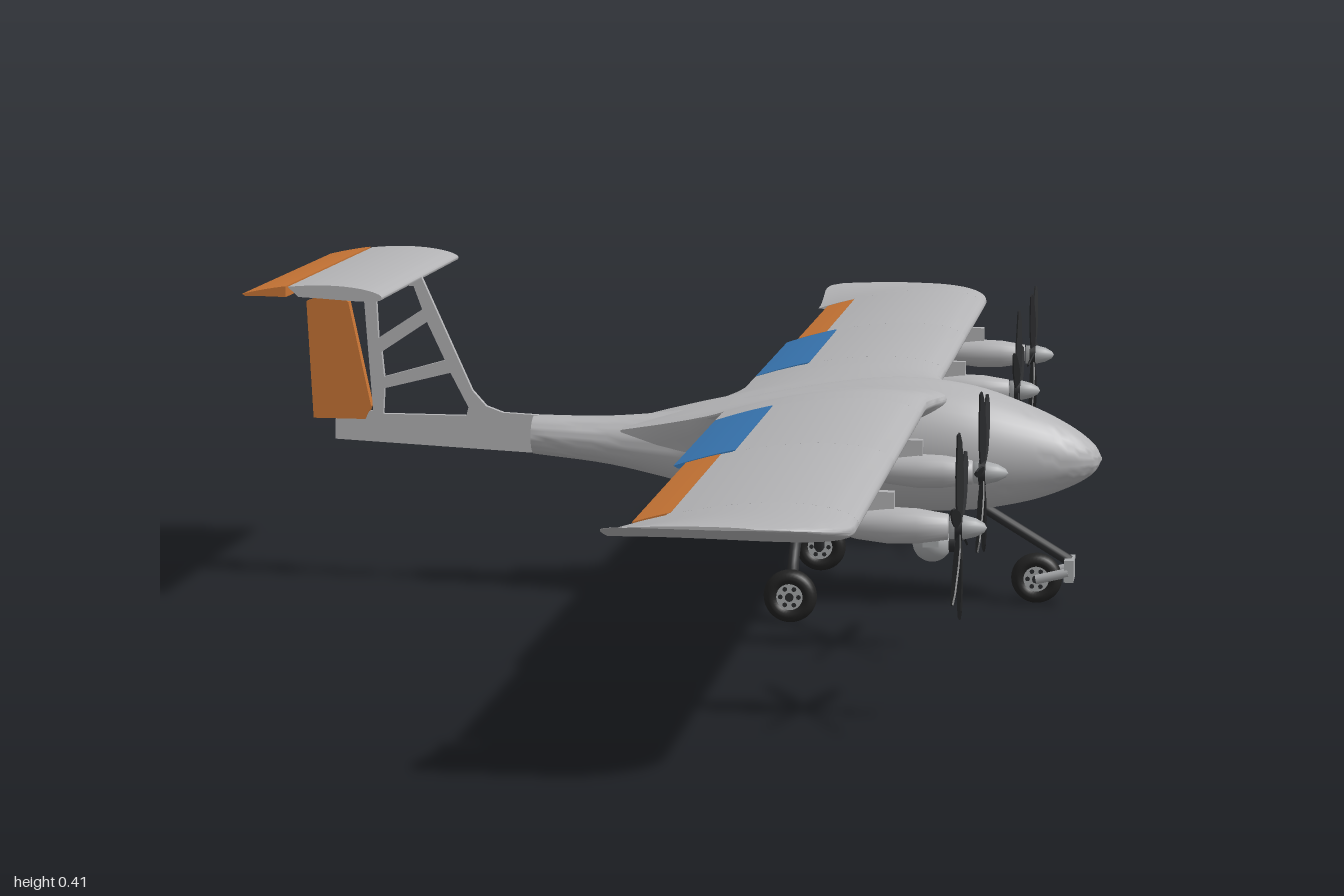
import * as THREE from 'three';
import { toCreasedNormals } from 'three/addons/utils/BufferGeometryUtils.js';

const paint = (name, color) => Object.assign(new THREE.MeshStandardMaterial({ color }), { name });

// Skin a row of closed rings and cap both ends, faces turned outward
function loft(rings, crease = 0.6) {
  const n = rings[0].length, pos = rings.flat(2), idx = [];
  for (let r = 0; r < rings.length - 1; r++) {
    for (let i = 0; i < n; i++) {
      const a = r * n + i, b = r * n + (i + 1) % n;
      idx.push(a, b, a + n, b, b + n, a + n);
    }
  }
  const last = (rings.length - 1) * n;
  for (let i = 1; i < n / 2; i++) {
    const j = n - i, k = i - 1, l = (n - i + 1) % n;
    for (const [o, flip] of [[0, true], [last, false]]) {
      const quad = [[k, i, l], [i, j, l]];
      for (const t of quad) idx.push(...(flip ? [t[0], t[2], t[1]] : t).map(v => v + o));
    }
  }
  const p = i => new THREE.Vector3().fromArray(pos, idx[i] * 3);
  let volume = 0;
  for (let i = 0; i < idx.length; i += 3) volume += p(i).dot(p(i + 1).cross(p(i + 2)));
  if (volume < 0) idx.reverse();
  const g = new THREE.BufferGeometry();
  g.setAttribute('position', new THREE.Float32BufferAttribute(pos, 3));
  g.setIndex(idx);
  return toCreasedNormals(g, crease);
}

// Aerofoil ring between chord fractions t0 and t1
function foil(z, { le, te, yLe, yTe, thick, camber = 0.008, drop = 0, lift = 0, t0 = 0, t1 = 1 }) {
  const N = 14, top = [], bottom = [];
  for (let i = 0; i <= N; i++) {
    const u = t0 > 0 ? i / N : 1 - Math.cos(i / N * Math.PI / 2);
    const t = t0 + (t1 - t0) * u;
    const h = 5 * thick * (0.2969 * Math.sqrt(t) - 0.126 * t - 0.3516 * t * t + 0.2843 * t ** 3 - 0.1015 * t ** 4) + 0.001;
    const x = le + (te - le) * t;
    const c = yLe + (yTe - yLe) * t + camber * 4 * t * (1 - t);
    const raise = y => y + (0.28 - y) * lift;
    top.push([x, raise(c + h), z]);
    bottom.push([x, raise(c - h - drop * 4 * t * (1 - t)), z]);
  }
  return [...top, ...bottom.reverse()];
}

const wingBase = { le: 0.31, te: 0.06, yLe: 0.264, yTe: 0.252, thick: 0.033 };
const chordAt = x => (0.31 - x) / 0.25;

export function createModel() {
  const model = new THREE.Group();
  model.name = 'aircraft';
  const grey = paint('body grey', 0xb4b4b6), orange = paint('control orange', 0xc87535);
  const blue = paint('flap blue', 0x3876b2), dark = paint('carbon black', 0x2c2d2f);
  const rubber = paint('tyre black', 0x222222), metal = paint('light metal', 0xa8aaac);

  const add = (name, geo, mat, parent = model, p = [0, 0, 0]) => {
    const m = new THREE.Mesh(geo, mat);
    m.name = name;
    m.position.set(...p);
    parent.add(m);
    return m;
  };
  const strut = (name, a, b, r, mat, parent = model) => {
    const va = new THREE.Vector3(...a), vb = new THREE.Vector3(...b), d = vb.clone().sub(va);
    const m = add(name, new THREE.CylinderGeometry(r, r, d.length(), 12), mat, parent);
    m.position.copy(va).add(vb).multiplyScalar(0.5);
    m.quaternion.setFromUnitVectors(new THREE.Vector3(0, 1, 0), d.normalize());
    return m;
  };
  const plate = (name, pts, depth, mat, holes = []) => {
    const outline = q => q.map(([x, y]) => new THREE.Vector2(x, y));
    const s = new THREE.Shape(outline(pts));
    s.holes = holes.map(h => new THREE.Path(outline(h)));
    const g = new THREE.ExtrudeGeometry(s, { depth, bevelEnabled: false });
    return add(name, g.translate(0, 0, -depth / 2), mat);
  };

  // Fuselage: x, centre height, half height, half width
  const stations = [
    [-0.2, 0.2, 0.025, 0.027], [-0.1, 0.195, 0.031, 0.036], [0, 0.19, 0.047, 0.05],
    [0.1, 0.192, 0.068, 0.062], [0.2, 0.197, 0.081, 0.073], [0.28, 0.2, 0.084, 0.077],
    [0.36, 0.197, 0.078, 0.074], [0.43, 0.192, 0.06, 0.059], [0.48, 0.189, 0.039, 0.041],
    [0.51, 0.187, 0.019, 0.021], [0.521, 0.187, 0.001, 0.001]];
  const spine = f => new THREE.CatmullRomCurve3(stations.map(f), false, 'catmullrom', 0.5);
  const height = spine(s => new THREE.Vector3(s[0], s[1], s[2]));
  const width = spine(s => new THREE.Vector3(s[0], s[3], 0));
  const hull = [];
  for (let i = 0; i <= 50; i++) {
    const a = height.getPoint(i / 50), w = width.getPoint(i / 50).y, ring = [];
    for (let k = 0; k < 36; k++) {
      const q = k / 36 * Math.PI * 2;
      ring.push([a.x, a.y + a.z * Math.sin(q), w * Math.cos(q)]);
    }
    hull.push(ring);
  }
  add('fuselage', loft(hull, 0.9), grey);

  // Wing centre with fairing into the fuselage
  const rootZ = [0.18, 0.13, 0.11, 0.1, 0.09, 0.08, 0.07, 0.06, 0.05, 0.03];
  const centre = [...rootZ.map(z => -z), ...rootZ.slice().reverse()].map(z => {
    const f = Math.min(1, Math.max(0, (0.12 - Math.abs(z)) / 0.07)), k = f * f;
    return foil(z, { ...wingBase, le: 0.31 + 0.02 * k, te: 0.06 - 0.14 * k * f,
      yTe: 0.252 - 0.037 * k, drop: 0.05 * k });
  });
  add('wingCentre', loft(centre, 0.9), grey);

  // Wing panels, flaps, ailerons and swept-up tips on each side
  for (const s of [1, -1]) {
    const side = s > 0 ? 'right' : 'left';
    const span = (name, z0, z1, x0, x1, mat, extra = 0) => add(side + name, loft([z0, z1].map(z =>
      foil(s * z, { ...wingBase, thick: wingBase.thick + extra, t0: chordAt(x0), t1: chordAt(x1) }))), mat);
    span('InnerPanel', 0.18, 0.51, 0.31, 0.128, grey);
    span('OuterPanel', 0.51, 0.88, 0.31, 0.112, grey);
    span('Flap', 0.183, 0.507, 0.13, 0.06, blue, 0.004);
    span('Aileron', 0.512, 0.872, 0.115, 0.075, orange, 0.002);
    const tip = [0.88, 0.91, 0.93, 0.945, 0.96, 0.975, 0.985, 0.993, 1].map(z => {
      const d = Math.max(0, z - 0.91), e = Math.max(0, z - 0.975);
      const le = 0.22 + Math.sqrt(Math.max(0, 0.0081 - d * d));
      return foil(s * z, { ...wingBase, le, te: 0.06 + (0.025 - Math.sqrt(Math.max(0, 0.000625 - e * e))),
        lift: 0.9 * (d / 0.09) ** 1.3 });
    });
    add(side + 'WingTip', loft(tip, 0.9), grey);
  }

  // Motor pods with six-bladed propellers
  const podProfile = [[0, -0.15], [0.008, -0.14], [0.016, -0.11], [0.02, -0.075], [0.019, -0.045], [0.014, -0.012], [0, -0.012]];
  const spinnerProfile = [[0, -0.01], [0.013, -0.01], [0.013, 0.006], [0.01, 0.018], [0.005, 0.027], [0, 0.03]];
  const turned = prof => new THREE.LatheGeometry(prof.map(q => new THREE.Vector2(...q)), 24).rotateZ(-Math.PI / 2);
  const bladeShape = new THREE.Shape([[-0.004, 0.008], [0.004, 0.008], [0.008, 0.035], [0.008, 0.06], [0.005, 0.095],
    [0.001, 0.107], [-0.003, 0.105], [-0.006, 0.06], [-0.006, 0.035]].map(q => new THREE.Vector2(...q)));
  const blade = new THREE.ExtrudeGeometry(bladeShape, { depth: 0.002, bevelEnabled: false })
    .translate(0, 0, -0.001).rotateY(Math.PI / 2 - 0.5);
  for (const [z, turn] of [[0.66, 10], [0.32, 20], [-0.32, -5], [-0.66, -30]]) {
    const pod = new THREE.Group();
    pod.name = 'motorPod';
    pod.position.set(0.395, 0.222, z);
    model.add(pod);
    add('nacelle', turned(podProfile), grey, pod);
    add('pylon', new THREE.BoxGeometry(0.08, 0.03, 0.012), grey, pod, [-0.11, 0.022, 0]);
    add('spinner', turned(spinnerProfile), metal, pod);
    add('propHub', new THREE.CylinderGeometry(0.0145, 0.0145, 0.008, 24).rotateZ(Math.PI / 2), dark, pod);
    for (let k = 0; k < 6; k++) {
      add('propBlade', blade, dark, pod).rotation.x = THREE.MathUtils.degToRad(turn) + k * Math.PI / 3;
    }
  }

  // Tail boom and open truss fin
  plate('tailFin', [[-0.46, 0.188], [-0.195, 0.176], [-0.195, 0.225], [-0.24, 0.227], [-0.262, 0.235], [-0.28, 0.255],
    [-0.345, 0.4], [-0.445, 0.4], [-0.44, 0.372], [-0.42, 0.37], [-0.41, 0.226], [-0.46, 0.214]], 0.008, grey, [
    [[-0.405, 0.388], [-0.355, 0.388], [-0.344, 0.358], [-0.402, 0.32]],
    [[-0.398, 0.302], [-0.338, 0.342], [-0.315, 0.293], [-0.395, 0.27]],
    [[-0.395, 0.255], [-0.308, 0.277], [-0.285, 0.233], [-0.288, 0.222], [-0.397, 0.222]]]);
  plate('rudder', [[-0.488, 0.215], [-0.42, 0.215], [-0.412, 0.232], [-0.44, 0.366], [-0.46, 0.379], [-0.495, 0.366]], 0.013, orange);

  // Tailplane and elevator
  const tail = { le: -0.345, te: -0.52, yLe: 0.399, yTe: 0.4, thick: 0.015, camber: 0.006 };
  const tailSpan = (name, mat, o) => add(name, loft([-0.217, 0.217].map(z => foil(z, { ...tail, ...o }))), mat);
  tailSpan('tailplane', grey, { t1: 0.67 });
  tailSpan('elevator', orange, { t0: 0.685, thick: 0.018 });

  // Wheels
  const wheel = (name, p, r) => {
    const g = new THREE.Group();
    g.name = name;
    g.position.set(...p);
    model.add(g);
    add('tyre', new THREE.TorusGeometry(r * 0.7, r * 0.3, 14, 36).scale(1, 1, 1.3), rubber, g);
    add('hub', new THREE.CylinderGeometry(r * 0.5, r * 0.5, 0.018, 24).rotateX(Math.PI / 2), metal, g);
    add('axleCap', new THREE.CylinderGeometry(r * 0.16, r * 0.16, 0.024, 12).rotateX(Math.PI / 2), dark, g);
    for (let k = 0; k < 6; k++) {
      const a = k * Math.PI / 3;
      add('hubHole', new THREE.CylinderGeometry(0.003, 0.003, 0.019, 8).rotateX(Math.PI / 2), dark, g,
        [Math.cos(a) * r * 0.34, Math.sin(a) * r * 0.34, 0]);
    }
  };
  for (const s of [1, -1]) {
    wheel('mainWheel', [0.15, 0.034, s * 0.16], 0.033);
    const path = new THREE.CatmullRomCurve3([[0.15, 0.135, 0.03], [0.15, 0.113, 0.07], [0.15, 0.075, 0.125], [0.15, 0.035, 0.143]]
      .map(([x, y, z]) => new THREE.Vector3(x, y, s * z)));
    add('mainLeg', new THREE.TubeGeometry(path, 16, 0.007, 10), dark);
    strut('mainAxle', [0.15, 0.034, s * 0.14], [0.15, 0.034, s * 0.17], 0.005, dark);
  }

  // Nose gear with trailing fork
  wheel('noseWheel', [0.442, 0.033, 0], 0.032);
  strut('noseLeg', [0.36, 0.13, 0], [0.483, 0.056, 0], 0.007, dark);
  for (const s of [1, -1]) {
    strut('noseFork', [0.442, 0.034, s * 0.017], [0.482, 0.044, s * 0.017], 0.006, metal);
  }
  add('forkHead', new THREE.BoxGeometry(0.012, 0.028, 0.042), metal, model, [0.483, 0.046, 0]);

  // Camera ball under the nose
  add('cameraMount', new THREE.CylinderGeometry(0.014, 0.014, 0.022, 20), dark, model, [0.31, 0.11, 0]);
  add('cameraBall', new THREE.SphereGeometry(0.025, 24, 18), metal, model, [0.31, 0.075, 0]);
  add('cameraYoke', new THREE.BoxGeometry(0.02, 0.03, 0.054), metal, model, [0.31, 0.088, 0]);
  add('cameraLens', new THREE.CylinderGeometry(0.012, 0.012, 0.012, 20).rotateZ(Math.PI / 2), dark, model, [0.333, 0.075, 0]);

  return model;
}
